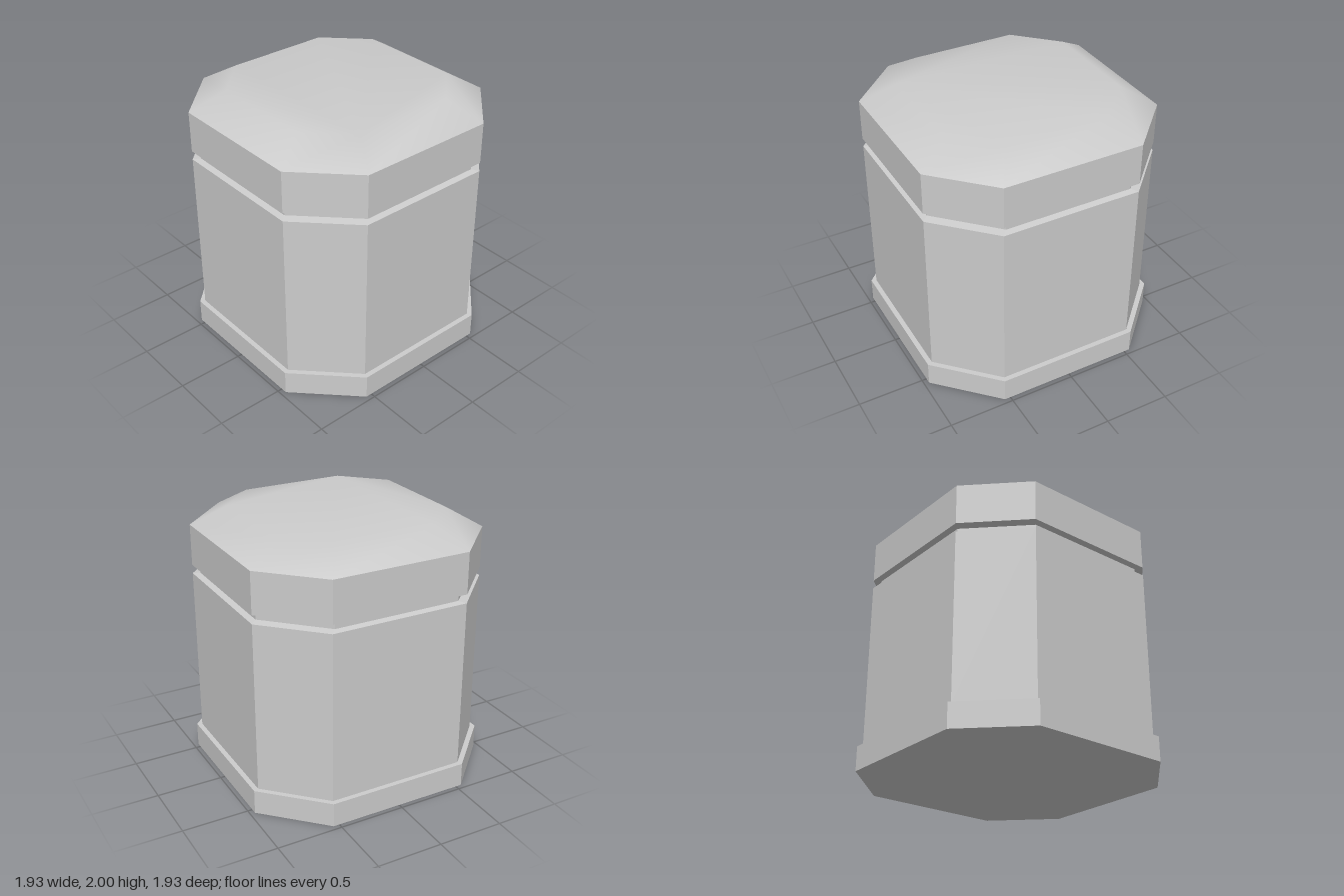
import * as THREE from 'three';

// Square of half-width h with cut corners; f is half the length of each flat side.
// Corners run counter-clockwise seen from above.
function octagon(h, f, y) {
  return [
    [h, f], [h, -f], [f, -h], [-f, -h], [-h, -f], [-h, f], [-f, h], [f, h],
  ].map(([x, z]) => [x, y, z]);
}

// Skin a stack of octagons [halfWidth, halfFlat, y], listed bottom to top.
function loft(rings, { capBottom = false, capTop = false } = {}) {
  const index = [];
  const n = 8;
  for (let r = 0; r < rings.length - 1; r++) {
    for (let i = 0; i < n; i++) {
      const a = r * n + i, b = r * n + ((i + 1) % n);
      index.push(a, b, b + n, a, b + n, a + n);
    }
  }
  const top = (rings.length - 1) * n;
  for (let i = 1; i < n - 1; i++) {
    if (capBottom) index.push(0, i + 1, i);
    if (capTop) index.push(top, top + i, top + i + 1);
  }
  const geometry = new THREE.BufferGeometry();
  const points = rings.flatMap((r) => octagon(...r)).flat();
  geometry.setAttribute('position', new THREE.Float32BufferAttribute(points, 3));
  geometry.setIndex(index);
  geometry.computeVertexNormals();
  return geometry;
}

export function createModel() {
  const group = new THREE.Group();
  const flat = new THREE.MeshStandardMaterial({ color: 0xcccccc, flatShading: true });
  const smooth = new THREE.MeshStandardMaterial({ color: 0xcccccc });

  const add = (name, rings, caps, material = flat) => {
    const mesh = new THREE.Mesh(loft(rings, caps), material);
    mesh.name = name;
    group.add(mesh);
  };

  // Plinth with a narrow ledge
  add('base', [[0.963, 0.545, 0], [0.963, 0.545, 0.185], [0.925, 0.53, 0.185]], { capBottom: true });

  // Main walls, sloping in slightly at the rim
  add('body', [[0.925, 0.53, 0.185], [0.925, 0.53, 1.475], [0.88, 0.49, 1.485]]);

  // Recessed band between body and lid
  add('neck', [[0.88, 0.49, 1.485], [0.88, 0.49, 1.533]]);

  // Lid underside and sides
  add('lid', [[0.88, 0.49, 1.533], [0.925, 0.53, 1.542], [0.925, 0.53, 1.855]]);

  // Softly shaded, bevelled lid top
  add('lidTop', [[0.925, 0.53, 1.855], [0.69, 0.395, 2]], { capTop: true }, smooth);

  return group;
}
